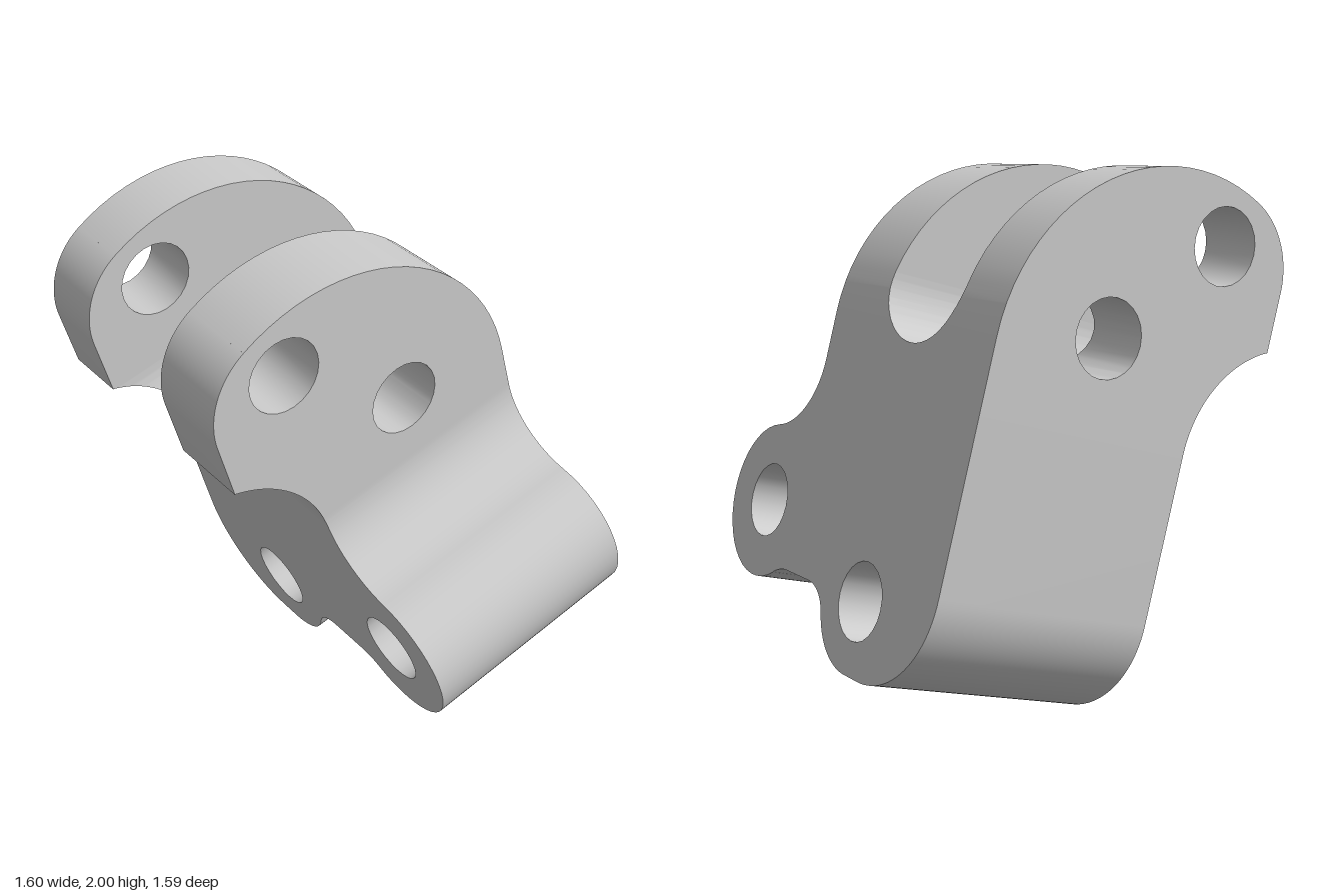
import * as THREE from 'three';
import { toCreasedNormals } from 'three/addons/utils/BufferGeometryUtils.js';

// The bracket is the overlap of two crossed extrusions. Both profiles share the
// height axis v; the cheek profile runs along z, the foot profile along u.
const TILT = THREE.MathUtils.degToRad(15);
const { PI } = Math;

function addHoles(shape, r, centres) {
  for (const [x, y] of centres) {
    const hole = new THREE.Path();
    hole.absarc(x, y, r, 0, PI * 2, true);
    shape.holes.push(hole);
  }
  return shape;
}

// Cheek outline in (u, v): straight shank, domed top, nose and hollow throat
function cheekProfile() {
  const s = new THREE.Shape();
  s.moveTo(-0.068, -0.1);
  s.lineTo(0.835, -0.1);
  const nose = Math.atan2(0.406, -0.15);
  s.absarc(0.095, 1.282, 0.74, 0, nose, false);
  s.absarc(-0.055, 1.688, 0.307, nose, PI, false);
  s.lineTo(-0.362, 1.461);
  s.absarc(-0.536, 1.03, 0.467, Math.atan2(0.431, 0.174), 0, true);
  s.closePath();
  return addHoles(s, 0.143, [[-0.048, 1.79], [0.377, 1.369]]);
}

// Foot outline in (z, v): two rounded lobes below, U-shaped slot above
function footProfile() {
  const s = new THREE.Shape();
  s.moveTo(-0.53, 2.2);
  s.lineTo(-0.795, 2.2);
  s.absarc(-0.415, 0.4, 0.38, PI, PI * 1.5, false);
  s.absarc(-0.32, 0.285, 0.265, -PI / 2, Math.atan2(-0.158, 0.384), false);
  s.absarc(0.064, 0.127, 0.15, Math.atan2(0.158, -0.384), PI / 2, true);
  s.absarc(0.24, 0.077, 0.2, PI / 2, Math.atan2(0.428, 0.258), true);
  s.absarc(0.497, 0.505, 0.3, Math.atan2(-0.428, -0.258), Math.atan2(0.593, 0.09), false);
  s.absarc(0.59, 1.098, 0.3, Math.atan2(-0.593, -0.09), -PI, true);
  s.lineTo(0.29, 2.2);
  s.lineTo(-0.04, 2.2);
  s.absarc(-0.285, 1.458, 0.245, 0, -PI, true);
  s.closePath();
  return addHoles(s, 0.143, [[0.497, 0.506], [-0.32, 0.285]]);
}

// Directed edges of a shape: outline counter-clockwise, holes clockwise
function edgesOf(shape) {
  const { shape: outer, holes } = shape.extractPoints(12);
  const edges = [];
  [outer, ...holes].forEach((loop, i) => {
    if (THREE.ShapeUtils.isClockWise(loop) !== i > 0) loop.reverse();
    loop.forEach((a, k) => {
      const b = loop[(k + 1) % loop.length];
      if (a.distanceTo(b) > 1e-5) edges.push([a, b]);
    });
  });
  return edges;
}

const crossAt = ([a, b], v) => a.x + (b.x - a.x) * (v - a.y) / (b.y - a.y);

// Walls swept from one profile, trimmed at each height to the other profile
function trimmedWalls(edges, other, toPoint, flip) {
  const levels = other.map(([a]) => a.y);
  const pos = [];
  const ab = new THREE.Vector3(), ac = new THREE.Vector3();
  const tri = (a, b, c) => {
    if (ab.subVectors(b, a).cross(ac.subVectors(c, a)).length() < 1e-10) return;
    for (const p of flip ? [a, c, b] : [a, b, c]) pos.push(p.x, p.y, p.z);
  };
  for (const [a, b] of edges) {
    const dv = b.y - a.y;
    const cuts = Math.abs(dv) < 1e-6 ? [] : levels.map((v) => (v - a.y) / dv);
    const ts = [0, ...cuts.filter((t) => t > 0 && t < 1).sort((p, q) => p - q), 1];
    for (let i = 0; i + 1 < ts.length; i++) {
      if (ts[i + 1] - ts[i] < 1e-7) continue;
      const p = a.clone().lerp(b, ts[i]), q = a.clone().lerp(b, ts[i + 1]);
      const mid = (p.y + q.y) / 2;
      const hits = other.filter(([c, d]) => (c.y > mid) !== (d.y > mid))
        .sort((c, d) => crossAt(c, mid) - crossAt(d, mid));
      for (let k = 0; k + 1 < hits.length; k += 2) {
        const p0 = toPoint(p, crossAt(hits[k], p.y)), p1 = toPoint(p, crossAt(hits[k + 1], p.y));
        const q0 = toPoint(q, crossAt(hits[k], q.y)), q1 = toPoint(q, crossAt(hits[k + 1], q.y));
        tri(p0, q0, q1);
        tri(p0, q1, p1);
      }
    }
  }
  const geo = new THREE.BufferGeometry();
  geo.setAttribute('position', new THREE.Float32BufferAttribute(pos, 3));
  return toCreasedNormals(geo, 0.6);
}

export function createModel() {
  const group = new THREE.Group();
  group.name = 'clevisBracket';
  const material = new THREE.MeshStandardMaterial({ color: 0xcccccc });
  const cheek = edgesOf(cheekProfile());
  const foot = edgesOf(footProfile());

  // Rims, end faces and cross holes of the cheeks
  const rims = new THREE.Mesh(
    trimmedWalls(cheek, foot, (p, z) => new THREE.Vector3(p.x, p.y, z), false), material);
  rims.name = 'cheekRimsAndPinHoles';

  // Cheek sides, slot, foot lobes and bolt holes
  const sides = new THREE.Mesh(
    trimmedWalls(foot, cheek, (p, u) => new THREE.Vector3(u, p.y, p.x), true), material);
  sides.name = 'cheekSidesSlotAndFoot';

  // Lean the whole bracket
  const body = new THREE.Group();
  body.name = 'tiltedBody';
  body.rotation.z = TILT;
  body.add(rims, sides);
  group.add(body);
  return group;
}
